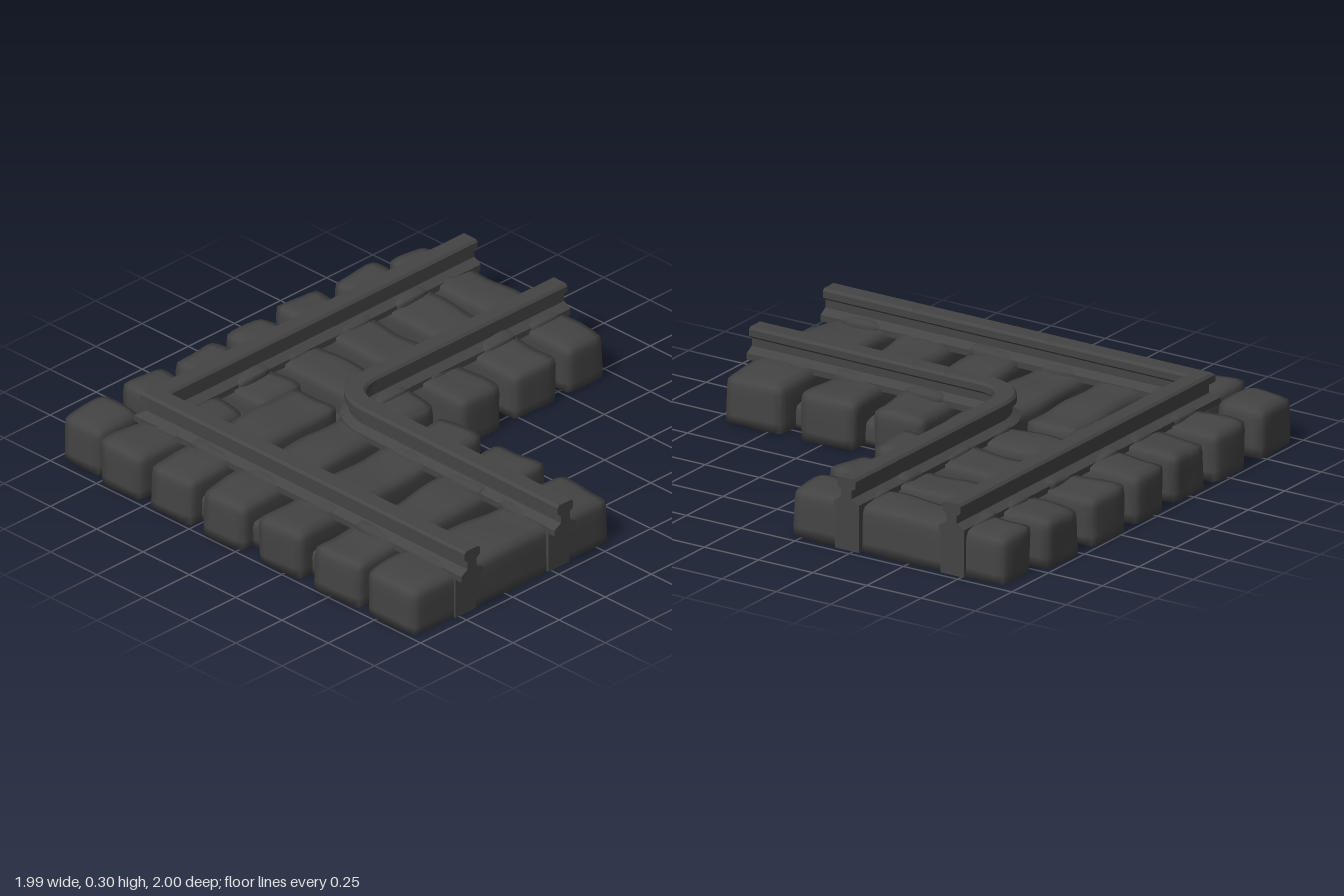
import * as THREE from 'three';
import { mergeVertices } from 'three/addons/utils/BufferGeometryUtils.js';

const iron = new THREE.MeshStandardMaterial({ color: 0x444444 });
iron.name = 'dark iron grey';

// Smooth repeatable wobble from a position
const wobble = (x, y, z, s) =>
  Math.sin(x * 17 + s * 2.3 + y * 9) * 0.5 + Math.sin(z * 19 + s * 4.1 + x * 7) * 0.5;

// Rough block with rounded edges and a flat underside, from (x0,y0,z0) to (x1,y1,z1)
function roughBlock(name, [x0, x1], [y0, y1], [z0, z1], { r = 0.022, rough = 0.008, yaw = 0, seed = 1 } = {}) {
  const size = [x1 - x0, y1 - y0, z1 - z0];
  const seg = size.map((s) => Math.max(4, Math.round(s / 0.04)));
  let g = new THREE.BoxGeometry(...size, ...seg);
  g.deleteAttribute('uv');
  g.deleteAttribute('normal');
  g = mergeVertices(g, 1e-4);
  const p = g.attributes.position;
  const v = new THREE.Vector3(), core = new THREE.Vector3();
  const half = new THREE.Vector3(...size).multiplyScalar(0.5);
  for (let i = 0; i < p.count; i++) {
    v.fromBufferAttribute(p, i);
    const bottom = v.y < -half.y + 1e-4;
    core.copy(v);
    for (const a of ['x', 'y', 'z']) {
      const lim = half[a] - r;
      core[a] = THREE.MathUtils.clamp(v[a], -lim, lim);
    }
    if (bottom) core.y = v.y;
    const d = v.clone().sub(core);
    if (d.lengthSq() > 0) v.copy(core).addScaledVector(d.normalize(), r);
    const n = rough * wobble(v.x, v.y, v.z, seed);
    v.x += n * Math.sign(v.x) * 0.8;
    v.z += n * Math.sign(v.z) * 0.8;
    if (!bottom) v.y += n - rough * 0.3;
    p.setXYZ(i, v.x, v.y, v.z);
  }
  g.computeVertexNormals();
  const m = new THREE.Mesh(g, iron);
  m.name = name;
  m.position.set((x0 + x1) / 2, (y0 + y1) / 2, (z0 + z1) / 2);
  m.rotation.y = yaw;
  return m;
}

// Rail section: [sideways offset, height], foot, web and head
const half = [[0.058, 0.175], [0.058, 0.2], [0.024, 0.22], [0.024, 0.252], [0.042, 0.265], [0.042, 0.292], [0.032, 0.302]];
const section = [...half, ...half.slice().reverse().map(([s, y]) => [-s, y])];

// Sweep the section along a flat path [x, z] with mitred joints
function sweepRail(name, path) {
  const rings = path.map(([x, z], i) => {
    const a = path[Math.max(i - 1, 0)], b = path[Math.min(i + 1, path.length - 1)];
    const unit = (dx, dz) => new THREE.Vector2(dx, dz).normalize();
    const d0 = i > 0 ? unit(x - a[0], z - a[1]) : unit(b[0] - x, b[1] - z);
    const d1 = i < path.length - 1 ? unit(b[0] - x, b[1] - z) : d0;
    const t = d0.clone().add(d1).normalize();
    const k = 1 / t.dot(d0);
    return section.map(([s, y]) => new THREE.Vector3(x - t.y * s * k, y, z + t.x * s * k));
  });
  const pos = [];
  const tri = (...c) => c.forEach((q) => pos.push(q.x, q.y, q.z));
  const n = section.length;
  for (let i = 0; i + 1 < rings.length; i++) {
    for (let j = 0; j < n; j++) {
      const k = (j + 1) % n, A = rings[i], B = rings[i + 1];
      tri(A[j], B[j], A[k]);
      tri(A[k], B[j], B[k]);
    }
  }
  // End caps
  const flat = section.map(([s, y]) => new THREE.Vector2(s, y));
  const first = rings[0], last = rings[rings.length - 1];
  for (const [a, b, c] of THREE.ShapeUtils.triangulateShape(flat, [])) {
    tri(first[a], first[b], first[c]);
    tri(last[a], last[c], last[b]);
  }
  const g = new THREE.BufferGeometry();
  g.setAttribute('position', new THREE.Float32BufferAttribute(pos, 3));
  g.computeVertexNormals();
  const m = new THREE.Mesh(g, iron);
  m.name = name;
  return m;
}

export function createModel() {
  const model = new THREE.Group();
  model.name = 'trackCorner';
  const H = [0.003, 0.197];

  // Ballast bed, one slab for each leg
  const bed = new THREE.Group();
  bed.name = 'ballastBed';
  bed.add(
    roughBlock('ballastFrontLeg', [-0.91, -0.03], [0, 0.1], [-0.85, 0.94], { rough: 0.015 }),
    roughBlock('ballastSideLeg', [-0.88, 0.94], [0, 0.098], [-0.85, -0.13], { rough: 0.015, seed: 3 }),
  );
  model.add(bed);

  // Sleepers across the front leg: [x0, x1, z0, z1, yaw]
  const sleepers = new THREE.Group();
  sleepers.name = 'sleepers';
  [
    [-0.99, -0.7, -0.74, -0.53, 0],
    [-0.99, -0.16, -0.49, -0.27, 0.03],
    [-0.99, 0.11, -0.215, 0.0, 0.045],
    [-0.99, 0.07, 0.075, 0.3, 0.06],
    [-0.99, 0.075, 0.39, 0.62, 0.055],
    [-0.99, 0.075, 0.69, 0.955, 0],
  ].forEach(([x0, x1, z0, z1, yaw], i) =>
    sleepers.add(roughBlock('frontLegSleeper', [x0, x1], H, [z0, z1], { yaw, seed: i + 1 })));
  // Sleepers across the side leg
  [
    [-0.96, -0.73, -0.985, -0.78, 0],
    [-0.63, -0.425, -0.985, -0.51, -0.03],
    [-0.355, -0.14, -0.985, -0.5, 0],
    [-0.08, 0.125, -0.99, -0.03, -0.02],
    [0.2, 0.415, -0.99, 0.045, -0.03],
    [0.49, 0.71, -0.985, 0.045, -0.035],
    [0.765, 0.965, -0.94, 0.045, -0.012],
  ].forEach(([x0, x1, z0, z1, yaw], i) =>
    sleepers.add(roughBlock('sideLegSleeper', [x0, x1], H, [z0, z1], { yaw, seed: i + 11 })));
  model.add(sleepers);

  // Outer rail with a square corner, inner rail with a rounded one
  const bend = new THREE.QuadraticBezierCurve(
    new THREE.Vector2(-0.205, -0.08), new THREE.Vector2(-0.19, -0.23), new THREE.Vector2(-0.04, -0.235));
  model.add(
    sweepRail('outerRail', [[-0.72, 1], [-0.715, -0.715], [0.99, -0.715]]),
    sweepRail('innerRail', [[-0.215, 1], ...bend.getPoints(8).map((q) => [q.x, q.y]), [0.99, -0.23]]),
  );

  // Low chairs where rails cross sleepers
  const chairs = new THREE.Group();
  chairs.name = 'railChairs';
  const chair = (x, z, sx, sz, seed) => chairs.add(roughBlock('railChair',
    [x - sx, x + sx], [0.16, 0.217], [z - sz, z + sz], { rough: 0.012, seed }));
  [-0.63, -0.36, -0.08, 0.21, 0.53, 0.82].forEach((z, i) => {
    chair(-0.718, z, 0.068, 0.09, i);
    if (i > 2) chair(-0.21, z - 0.03, 0.068, 0.09, i + 5);
  });
  [-0.53, -0.25, 0.03, 0.32, 0.61, 0.865].forEach((x, i) => {
    chair(x, -0.715, 0.08, 0.068, i + 2);
    if (i > 1) chair(x - 0.01, -0.23, 0.08, 0.068, i + 7);
  });
  model.add(chairs);

  // Feet under the open rail ends, almost flush with the last sleepers
  const foot = (x, z, w, d) => {
    const m = new THREE.Mesh(new THREE.BoxGeometry(w, 0.18, d), iron);
    m.name = 'railEndFoot';
    m.position.set(x, 0.095, z);
    model.add(m);
  };
  for (const x of [-0.72, -0.215]) foot(x, 0.935, 0.11, 0.06);
  for (const z of [-0.715, -0.23]) foot(0.955, z, 0.06, 0.11);
  return model;
}
